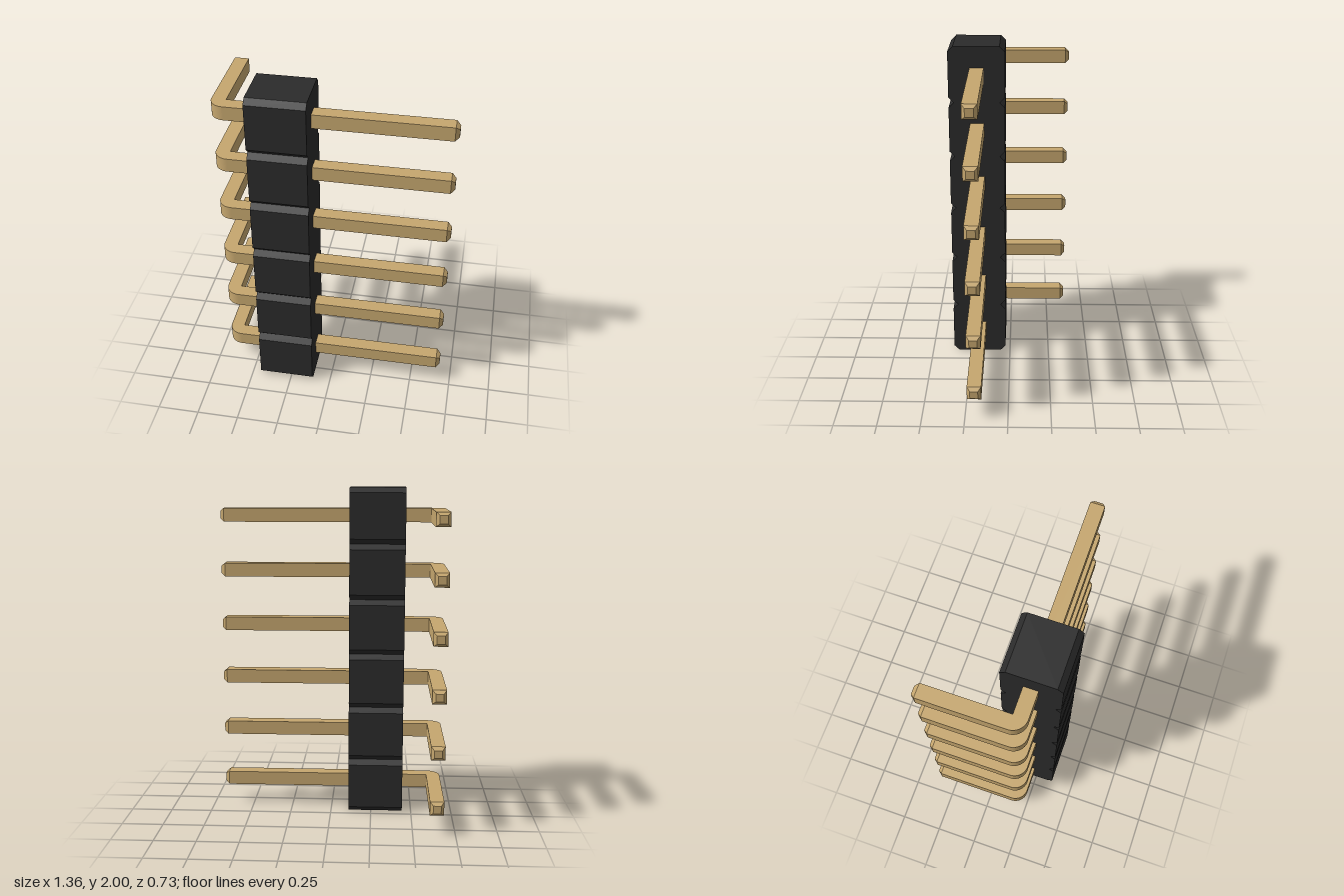
import * as THREE from 'three';

const COUNT = 6, PITCH = 1 / 3;
const BODY_X0 = -0.444, BODY_X1 = -0.11;
const BACK = 0.03, FRONT = 0.363, CHAMFER = 0.031;
const PIN_Z = 0.195, HALF = 0.0415, TIP_HALF = 0.023, TIP_LEN = 0.023;
const REACH_X = 0.68, REACH_Z = -0.363;

// Plastic strip: chamfered octagon per pin, joined into one notched profile
function bodyGeometry() {
  const right = [], left = [];
  for (let i = 0; i < COUNT; i++) {
    const y0 = i * PITCH, y1 = y0 + PITCH;
    const steps = [[CHAMFER, y0], [0, y0 + CHAMFER], [0, y1 - CHAMFER], [CHAMFER, y1]];
    steps.forEach(([inset, y], k) => {
      if (k === 0 && i > 0) return; // shared with the notch below
      right.push(new THREE.Vector2(-BACK - inset, y));
      left.unshift(new THREE.Vector2(-FRONT + inset, y));
    });
  }
  const geo = new THREE.ExtrudeGeometry(new THREE.Shape([...right, ...left]), {
    depth: BODY_X1 - BODY_X0, bevelEnabled: false,
  });
  return geo.rotateY(Math.PI / 2).translate(BODY_X0, 0, 0);
}

// Bent square pin: L-shaped plan with a rounded outer corner
function pinGeometry() {
  const w = HALF * 2, x0 = -REACH_X, x1 = REACH_X - TIP_LEN;
  const s0 = -PIN_Z - HALF, s1 = -REACH_Z - TIP_LEN;
  const plan = new THREE.Shape();
  plan.moveTo(x1, s0);
  plan.lineTo(x1, s0 + w);
  plan.lineTo(x0 + w, s0 + w);
  plan.lineTo(x0 + w, s1);
  plan.lineTo(x0, s1);
  plan.lineTo(x0, s0 + w);
  plan.absarc(x0 + w, s0 + w, w, Math.PI, Math.PI * 1.5, false);
  plan.closePath();
  const geo = new THREE.ExtrudeGeometry(plan, { depth: w, bevelEnabled: false, curveSegments: 10 });
  return geo.rotateX(-Math.PI / 2).translate(0, -HALF, 0);
}

// Tapered square end, pointing up
function tipGeometry() {
  return new THREE.CylinderGeometry(TIP_HALF * Math.SQRT2, HALF * Math.SQRT2, TIP_LEN, 4)
    .toNonIndexed().rotateY(Math.PI / 4);
}

export function createModel() {
  const plastic = new THREE.MeshStandardMaterial({ color: 0x2b2b2b });
  plastic.name = 'black plastic';
  const brass = new THREE.MeshStandardMaterial({ color: 0xc6a76f });
  brass.name = 'gold plated metal';

  const group = new THREE.Group();
  group.name = 'pinHeader';
  const add = (parent, geo, mat, name) => {
    const mesh = new THREE.Mesh(geo, mat);
    mesh.name = name;
    parent.add(mesh);
  };
  add(group, bodyGeometry(), plastic, 'body');

  const pin = pinGeometry();
  const longTip = tipGeometry().rotateZ(-Math.PI / 2)
    .translate(REACH_X - TIP_LEN / 2, 0, PIN_Z);
  const bentTip = tipGeometry().rotateX(-Math.PI / 2)
    .translate(-REACH_X + HALF, 0, REACH_Z + TIP_LEN / 2);
  for (const g of [longTip, bentTip]) g.computeVertexNormals();

  for (let i = 0; i < COUNT; i++) {
    const row = new THREE.Group();
    row.name = `pin${i + 1}`;
    row.position.y = (i + 0.5) * PITCH;
    add(row, pin, brass, 'bentPin');
    add(row, longTip, brass, 'straightTip');
    add(row, bentTip, brass, 'bentTip');
    group.add(row);
  }
  return group;
}
